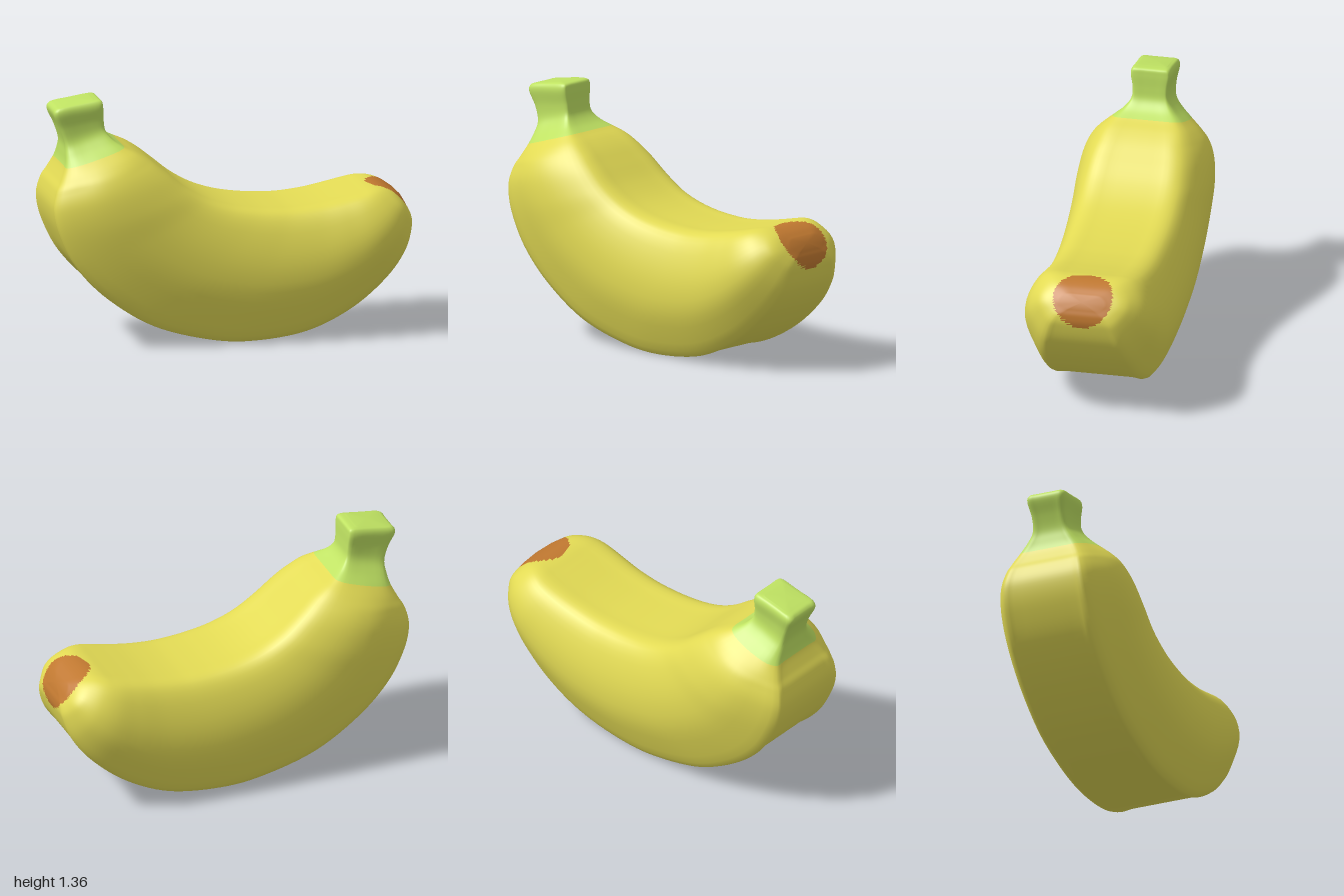
import * as THREE from 'three';

// Stations along the fruit: outer x, outer y, inner x, inner y, half width, squareness
const STATIONS = [
  [-0.93, 1.328, -0.76, 1.355, 0.08, 1],
  [-0.965, 1.315, -0.715, 1.35, 0.103, 1],
  [-0.975, 1.28, -0.705, 1.315, 0.112, 1],
  [-0.94, 1.2, -0.7, 1.24, 0.1, 1],
  [-0.915, 1.12, -0.69, 1.18, 0.105, 1],
  [-0.915, 1.06, -0.655, 1.135, 0.145, 0.8],
  [-0.925, 1.0, -0.6, 1.1, 0.205, 0.5],
  [-0.955, 0.93, -0.53, 1.065, 0.27, 0.2],
  [-0.985, 0.87, -0.46, 1.02, 0.315, 0],
  [-1.0, 0.77, -0.38, 0.955, 0.348, 0],
  [-0.965, 0.63, -0.27, 0.865, 0.365, 0],
  [-0.87, 0.45, -0.15, 0.795, 0.365, 0],
  [-0.7, 0.275, -0.02, 0.75, 0.365, 0],
  [-0.45, 0.115, 0.12, 0.725, 0.365, 0],
  [-0.15, 0.025, 0.25, 0.715, 0.365, 0],
  [0.1, 0.002, 0.35, 0.715, 0.365, 0],
  [0.4, 0.04, 0.48, 0.728, 0.365, 0],
  [0.65, 0.155, 0.6, 0.75, 0.365, 0],
  [0.84, 0.31, 0.7, 0.772, 0.355, 0],
  [0.95, 0.45, 0.77, 0.787, 0.32, 0],
  [0.995, 0.57, 0.83, 0.788, 0.265, 0],
  [0.998, 0.63, 0.89, 0.77, 0.21, 0],
  [0.985, 0.67, 0.94, 0.74, 0.12, 0],
];

// Half cross-sections: position from outer (0) to inner (1) edge, relative width
const BODY = [[0, 0], [0, 0.5], [0, 0.68], [0.18, 0.86], [0.4, 1], [0.62, 1], [0.84, 0.88], [0.96, 0.74], [1, 0.58], [1, 0.35], [1, 0]];
const STEM = [[0, 0], [0, 0.5], [0, 0.85], [0.08, 1], [0.4, 1], [0.62, 1], [0.9, 1], [0.98, 0.93], [1, 0.8], [1, 0.35], [1, 0]];

const STEPS = 6;          // rings between stations
const SIDES = 60;         // points in a ring
const STEM_END = 6;       // station where the stem colour stops

// Closed smooth loop from a mirrored half section
function sectionLoop(half) {
  const mirrored = half.slice(1, -1).reverse().map(([t, w]) => [t, -w]);
  const points = [...half, ...mirrored].map(([t, w]) => new THREE.Vector3(t, w, 0));
  const curve = new THREE.CatmullRomCurve3(points, true, 'centripetal');
  return Array.from({ length: SIDES }, (_, i) => curve.getPoint(i / SIDES));
}

export function createModel() {
  const yellow = new THREE.MeshStandardMaterial({ color: 0xe2da54 });
  yellow.name = 'yellow peel';
  const green = new THREE.MeshStandardMaterial({ color: 0xbfe262 });
  green.name = 'green stem';
  const brown = new THREE.MeshStandardMaterial({ color: 0xc07830 });
  brown.name = 'brown tip';

  // Smooth rails for the outer edge with width, and the inner edge with squareness
  const rail = (pick) => new THREE.CatmullRomCurve3(
    STATIONS.map((s) => new THREE.Vector3(...pick.map((k) => s[k]))), false, 'catmullrom', 0.5);
  const outer = rail([0, 1, 4]);
  const inner = rail([2, 3, 5]);
  const body = sectionLoop(BODY);
  const stem = sectionLoop(STEM);

  // Rings of vertices
  const rings = (STATIONS.length - 1) * STEPS;
  const positions = [];
  for (let j = 0; j <= rings; j++) {
    const o = outer.getPoint(j / rings);
    const n = inner.getPoint(j / rings);
    const square = THREE.MathUtils.clamp(n.z, 0, 1);
    for (let i = 0; i < SIDES; i++) {
      const p = body[i].clone().lerp(stem[i], square);
      positions.push(o.x + (n.x - o.x) * p.x, o.y + (n.y - o.y) * p.x, o.z * p.y);
    }
  }
  const topCentre = positions.length / 3;
  positions.push(-0.845, 1.348, 0);
  const tipCentre = topCentre + 1;
  positions.push(0.97, 0.711, 0);

  // Faces, sorted by part
  const faces = { stem: [], peel: [], tip: [] };
  const tipSpot = new THREE.Vector3(0.93, 0.72, 0);
  const centroid = new THREE.Vector3();
  const addFace = (onStem, ...ids) => {
    centroid.set(0, 0, 0);
    for (const id of ids) centroid.add(new THREE.Vector3().fromArray(positions, id * 3));
    const onTip = centroid.divideScalar(3).distanceTo(tipSpot) < 0.163;
    faces[onStem ? 'stem' : onTip ? 'tip' : 'peel'].push(...ids);
  };
  for (let i = 0; i < SIDES; i++) {
    const next = (i + 1) % SIDES;
    addFace(true, topCentre, i, next);
    for (let j = 0; j < rings; j++) {
      const a = j * SIDES + i, b = j * SIDES + next;
      const c = a + SIDES, d = b + SIDES;
      const onStem = j < STEM_END * STEPS;
      addFace(onStem, a, c, b);
      addFace(onStem, b, c, d);
    }
    addFace(false, tipCentre, rings * SIDES + next, rings * SIDES + i);
  }

  // Shared smooth normals keep the colour borders seamless
  const whole = new THREE.BufferGeometry();
  whole.setAttribute('position', new THREE.Float32BufferAttribute(positions, 3));
  whole.setIndex([...faces.stem, ...faces.peel, ...faces.tip]);
  whole.computeVertexNormals();

  const group = new THREE.Group();
  group.name = 'banana';
  for (const [name, material] of [['stem', green], ['peel', yellow], ['tip', brown]]) {
    const geometry = new THREE.BufferGeometry();
    geometry.setAttribute('position', whole.getAttribute('position'));
    geometry.setAttribute('normal', whole.getAttribute('normal'));
    geometry.setIndex(faces[name]);
    const mesh = new THREE.Mesh(geometry, material);
    mesh.name = name;
    group.add(mesh);
  }
  return group;
}
